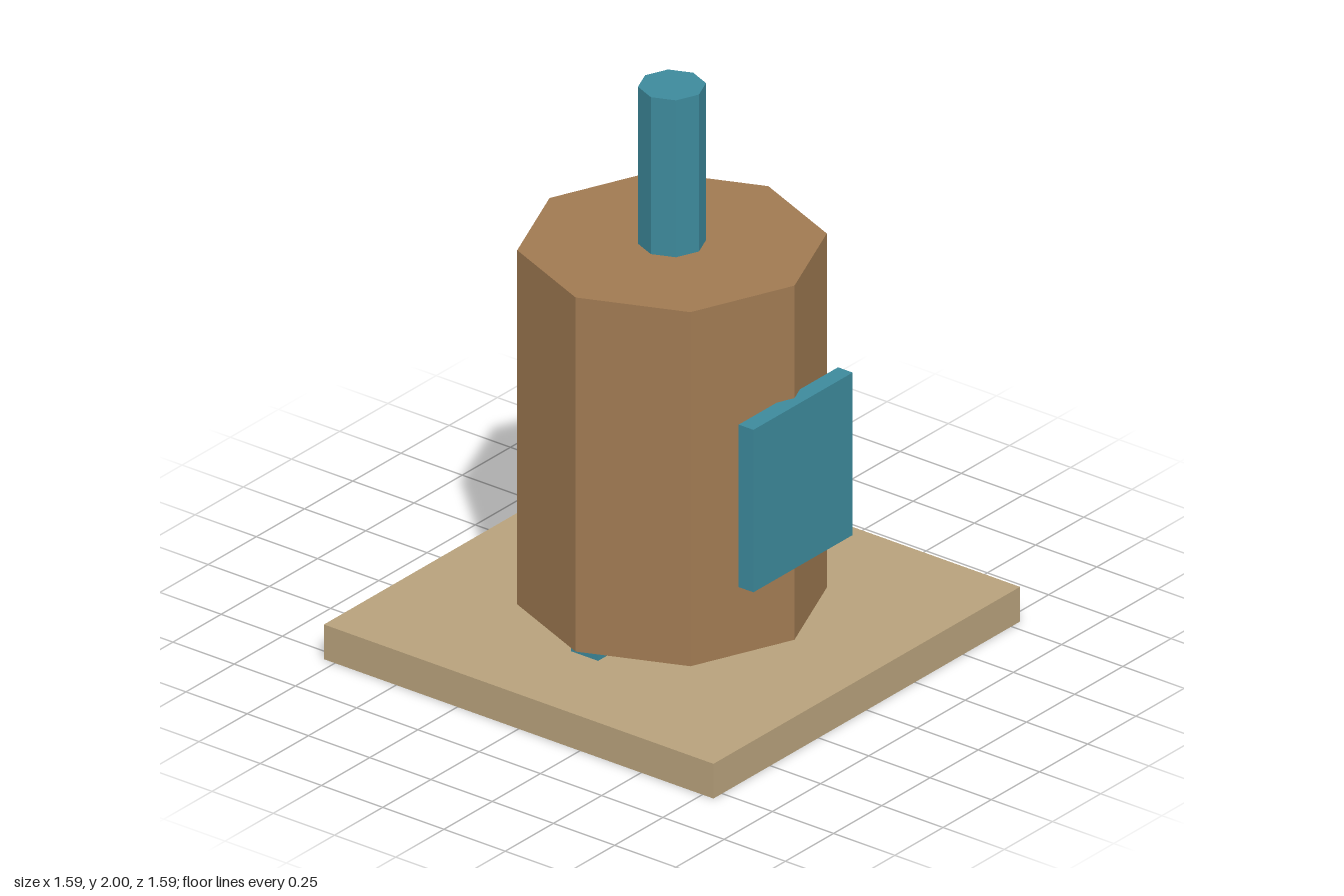
import * as THREE from 'three';

const material = (color) => new THREE.MeshStandardMaterial({ color, flatShading: true });

export function createModel() {
  const model = new THREE.Group();
  const sand = material(0xb8a27c);
  const brown = material(0xa07a52);
  const teal = material(0x3d8a9c);
  const grey = material(0x64757c);

  const add = (name, geometry, mat, x, y, z) => {
    const mesh = new THREE.Mesh(geometry, mat);
    mesh.name = name;
    mesh.position.set(x, y, z);
    model.add(mesh);
  };
  // Both helpers place a part by its bottom and top heights
  const box = (name, mat, w, d, bottom, top, x = 0, z = 0) =>
    add(name, new THREE.BoxGeometry(w, top - bottom, d), mat, x, (bottom + top) / 2, z);
  const prism = (name, mat, radius, bottom, top, x = 0, z = 0) =>
    add(name, new THREE.CylinderGeometry(radius, radius, top - bottom, 8), mat, x, (bottom + top) / 2, z);

  // Base slab and the feet that lift the drum off it
  box('base', sand, 1.59, 1.59, 0, 0.125);
  for (const side of [-1, 1]) box('foot', teal, 0.11, 0.11, 0.125, 0.165, side * 0.398);

  // Octagonal drum with its chimney and front door
  prism('drum', brown, 0.5, 0.16, 1.435);
  prism('chimney', teal, 0.11, 1.435, 2);
  box('door', teal, 0.515, 0.06, 0.445, 1.03, 0, 0.505);

  // Side block carrying a short pipe
  box('sideBlock', sand, 0.212, 0.212, 0.125, 0.355, 0.518, -0.125);
  prism('sidePipe', grey, 0.073, 0.355, 0.77, 0.518, -0.122);

  return model;
}
